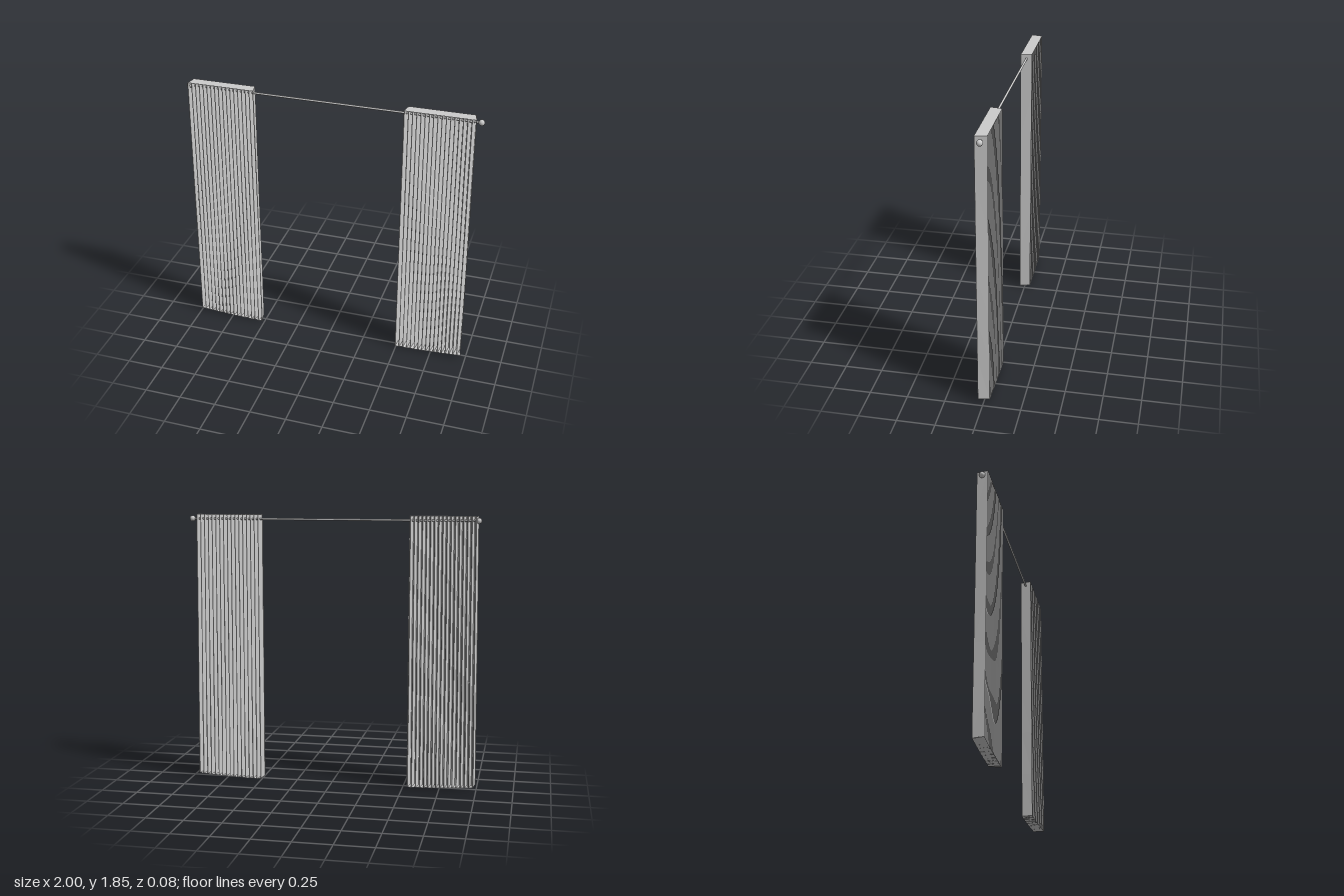
import * as THREE from 'three';

const material = new THREE.MeshStandardMaterial({ color: 0xcccccc, flatShading: true, side: THREE.DoubleSide });
const smooth = new THREE.MeshStandardMaterial({ color: 0xcccccc });

const PLEATS = 17, ROWS = 6, TOP = 1.855, ROD_Y = 1.825;

// Point on the cloth: i runs along the folds, v from 0 at the hem to 1 at the top
function clothPoint(i, v, inner, side) {
  const count = PLEATS * 4 + 1;
  const phase = i % 4;
  const t = i / count;
  // narrow flat tips joined by steep fold walls
  const shift = [0.25, -0.25, 0.25, -0.25][phase];
  const wobble = 0.0015 * Math.sin(i * 1.7 + v * 7) * (1 - v);
  const width = 0.465 + 0.016 * (1 - v);
  const x = inner + side * (Math.min(1, Math.max(0, t + shift / count)) * width + wobble);
  const z = phase < 2 ? 0.037 : -0.039;
  const hem = 0.005 + 0.022 * t * t + 0.004 * Math.sin(i * 0.9) * (1 - t);
  return [x, hem + (TOP - hem) * v, z];
}

// Pleated sheet with its folds closed over at the top and the hem
function makeCurtain(name, inner, side) {
  const columns = PLEATS * 4 + 2;
  const positions = [], index = [];
  for (let r = 0; r <= ROWS; r++) {
    for (let i = 0; i < columns; i++) positions.push(...clothPoint(i, r / ROWS, inner, side));
  }
  const face = (a, b, c) => (side > 0 ? index.push(a, b, c) : index.push(a, c, b));
  for (let r = 0; r < ROWS; r++) {
    for (let i = 0; i < columns - 1; i++) {
      const a = r * columns + i, b = a + columns;
      face(a, a + 1, b + 1);
      face(a, b + 1, b);
    }
  }
  // caps: link each front tip with the neighbouring back tips
  const top = ROWS * columns;
  for (let i = 0; i + 5 < columns; i += 2) {
    const front = i % 4 === 0;
    const quad = [i, i + 1, i + 4, i + 5];
    const [a, b, c, d] = [quad[0], i + 2, quad[2], quad[3]];
    for (const [p, q, s] of [[a, c, b], [c, d, b]]) {
      if (front) { face(top + p, top + q, top + s); face(p, s, q); }
      else { face(top + p, top + s, top + q); face(p, q, s); }
    }
  }
  const geometry = new THREE.BufferGeometry();
  geometry.setAttribute('position', new THREE.Float32BufferAttribute(positions, 3));
  geometry.setIndex(index);
  geometry.computeVertexNormals();
  const mesh = new THREE.Mesh(geometry, material);
  mesh.name = name;
  return mesh;
}

export function createModel() {
  const group = new THREE.Group();
  group.name = 'curtains';

  group.add(makeCurtain('leftCurtain', 0.49, 1), makeCurtain('rightCurtain', -0.515, -1));

  // Rod through the folds
  const rod = new THREE.Mesh(new THREE.CylinderGeometry(0.007, 0.007, 1.95, 16), smooth);
  rod.name = 'rod';
  rod.rotation.z = Math.PI / 2;
  rod.position.set(0, ROD_Y, -0.002);
  group.add(rod);

  // Ball finials
  for (const side of [-1, 1]) {
    const finial = new THREE.Mesh(new THREE.SphereGeometry(0.02, 24, 16), smooth);
    finial.name = side > 0 ? 'leftFinial' : 'rightFinial';
    finial.position.set(side * 0.979, ROD_Y, -0.002);
    group.add(finial);
  }
  return group;
}
